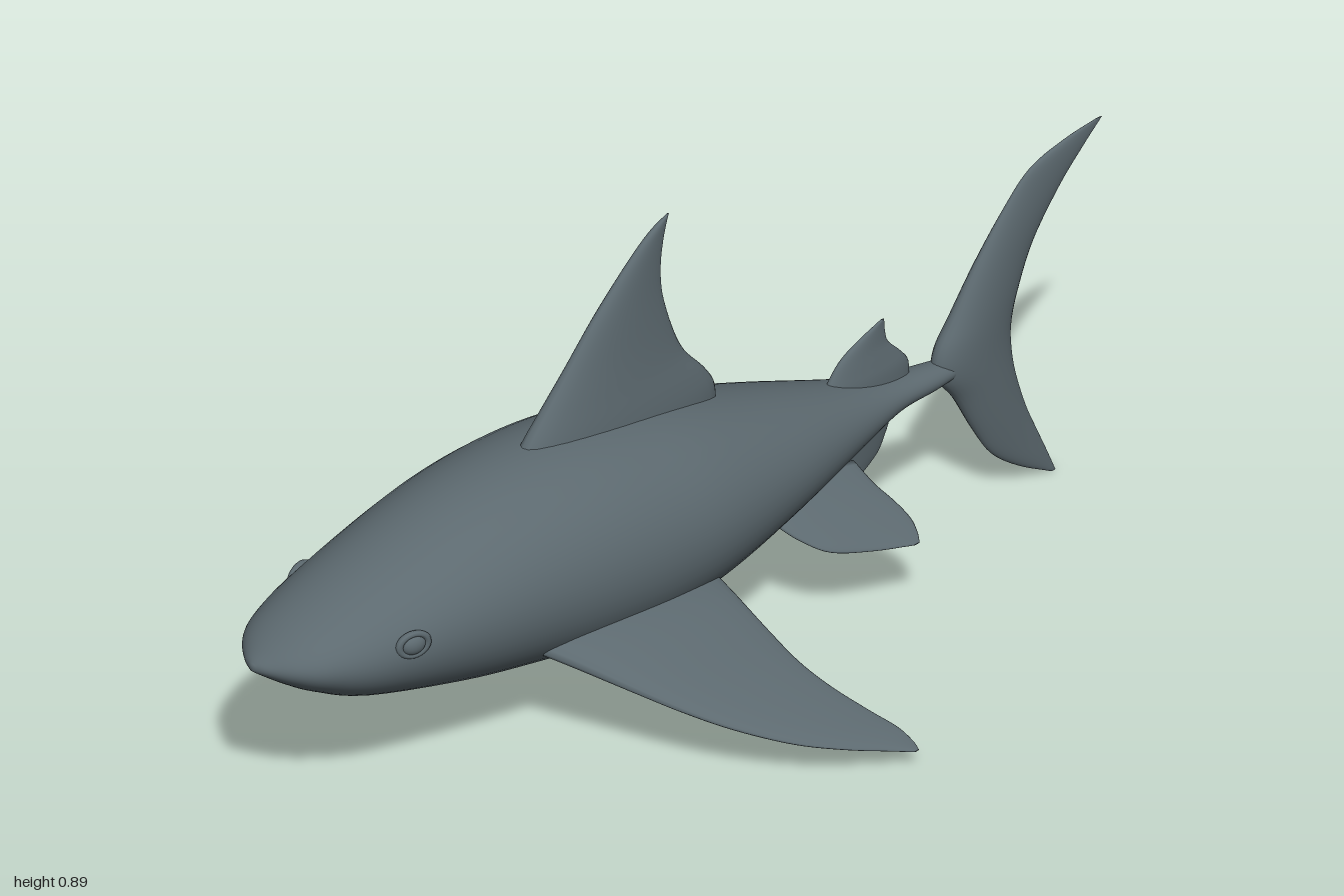
import * as THREE from 'three';

const skin = new THREE.MeshStandardMaterial({ color: 0x5c696f });
skin.name = 'slate grey skin';

// Smoothly resample a short table of cross-section rows
function smooth(rows, steps) {
  const size = rows[0].length;
  const spline = new THREE.CubicInterpolant(rows.map((_, i) => i), rows.flat(), size, new Float32Array(size));
  const count = (rows.length - 1) * steps;
  return Array.from({ length: count + 1 }, (_, i) => Array.from(spline.evaluate(i / steps)));
}

// Skin closed rings of points, cap both ends, and turn the faces outward
function loft(rings) {
  const n = rings[0].length;
  const points = rings.flat();
  const index = [];
  for (let r = 0; r < rings.length - 1; r++) {
    for (let i = 0; i < n; i++) {
      const a = r * n + i, b = r * n + (i + 1) % n;
      index.push(a, b, a + n, b, b + n, a + n);
    }
  }
  [0, rings.length - 1].forEach((r, end) => {
    const centre = new THREE.Vector3();
    rings[r].forEach(p => centre.addScaledVector(p, 1 / n));
    const c = points.push(centre) - 1;
    for (let i = 0; i < n; i++) {
      const a = r * n + i, b = r * n + (i + 1) % n;
      if (end) index.push(c, a, b); else index.push(c, b, a);
    }
  });
  let volume = 0;
  const cross = new THREE.Vector3();
  for (let i = 0; i < index.length; i += 3) {
    const [a, b, c] = [0, 1, 2].map(k => points[index[i + k]]);
    volume += a.dot(cross.crossVectors(b, c));
  }
  if (volume < 0) index.reverse();
  const geometry = new THREE.BufferGeometry().setFromPoints(points);
  geometry.setIndex(index);
  geometry.computeVertexNormals();
  return geometry;
}

// Fin rows: [span, leading z, trailing z, half thickness, height]
function finGeometry(rows, place) {
  const sides = 28;
  return loft(smooth(rows, 5).map(([span, lead, trail, thick, height]) =>
    Array.from({ length: sides }, (_, i) => {
      const a = i / sides * Math.PI * 2;
      const z = trail + (lead - trail) * (1 + Math.cos(a)) / 2;
      const t = Math.max(thick, 0.001) * Math.sin(a) * (1 + 0.25 * Math.cos(a));
      return place(span, z, t, height);
    })));
}

export function createModel() {
  const model = new THREE.Group();
  const add = (name, geometry, parent = model) => {
    const mesh = new THREE.Mesh(geometry, skin);
    mesh.name = name;
    parent.add(mesh);
    return mesh;
  };

  // Body: [z, half width, top, bottom]
  const body = [
    [0.998, 0.006, 0.336, 0.324], [0.985, 0.035, 0.348, 0.314], [0.95, 0.082, 0.372, 0.29],
    [0.9, 0.117, 0.398, 0.26], [0.8, 0.152, 0.437, 0.215], [0.6, 0.187, 0.503, 0.165],
    [0.45, 0.206, 0.534, 0.141], [0.3, 0.215, 0.543, 0.124], [0.15, 0.212, 0.53, 0.123],
    [0, 0.194, 0.502, 0.145], [-0.2, 0.142, 0.443, 0.2], [-0.4, 0.074, 0.379, 0.257],
    [-0.5, 0.045, 0.353, 0.286], [-0.59, 0.032, 0.342, 0.292], [-0.66, 0.022, 0.335, 0.302],
  ];
  add('body', loft(smooth(body, 5).map(([z, w, top, bottom]) =>
    Array.from({ length: 48 }, (_, i) => {
      const a = i / 48 * Math.PI * 2;
      return new THREE.Vector3(w * Math.cos(a),
        (top + bottom) / 2 + (top - bottom) / 2 * Math.sin(a), z);
    }))));

  // Upright fins along the centre line
  const upright = (span, z, t) => new THREE.Vector3(t, span, z);
  add('dorsalFin', finGeometry([
    [0.44, 0.4, -0.09, 0.042], [0.5, 0.385, -0.09, 0.042], [0.545, 0.36, -0.065, 0.039],
    [0.6, 0.315, -0.018, 0.032], [0.66, 0.265, 0.01, 0.025], [0.74, 0.2, 0.033, 0.018],
    [0.8, 0.145, 0.037, 0.013], [0.85, 0.095, 0.031, 0.009], [0.88, 0.058, 0.024, 0.006],
    [0.9, 0.022, 0.018, 0.002],
  ], upright));
  add('secondDorsalFin', finGeometry([
    [0.32, -0.33, -0.545, 0.02], [0.37, -0.345, -0.545, 0.019], [0.4, -0.36, -0.525, 0.015],
    [0.43, -0.385, -0.497, 0.01], [0.455, -0.425, -0.49, 0.006], [0.48, -0.48, -0.488, 0.002],
  ], upright));
  add('analFin', finGeometry([
    [0.31, -0.36, -0.5, 0.019], [0.27, -0.37, -0.5, 0.018], [0.24, -0.385, -0.49, 0.014],
    [0.21, -0.4, -0.475, 0.009], [0.19, -0.41, -0.455, 0.005], [0.175, -0.425, -0.435, 0.002],
  ], upright));
  add('tailFin', finGeometry([
    [0.007, -0.878, -0.89, 0.002], [0.05, -0.8, -0.872, 0.008], [0.1, -0.738, -0.85, 0.013],
    [0.17, -0.693, -0.82, 0.019], [0.25, -0.65, -0.795, 0.025], [0.31, -0.606, -0.785, 0.029],
    [0.36, -0.608, -0.785, 0.029], [0.42, -0.645, -0.8, 0.025], [0.51, -0.702, -0.837, 0.018],
    [0.6, -0.77, -0.9, 0.012], [0.66, -0.83, -0.955, 0.008], [0.69, -0.91, -0.985, 0.004],
    [0.705, -0.985, -1, 0.001],
  ], upright));

  // Paired fins and eyes
  for (const side of [1, -1]) {
    const label = side > 0 ? 'left' : 'right';
    const spread = (span, z, t, y) => new THREE.Vector3(side * span, y + t, z);
    add(label + 'PectoralFin', finGeometry([
      [0.12, 0.48, 0.04, 0.03, 0.235], [0.2, 0.43, 0.04, 0.03, 0.212],
      [0.3, 0.36, 0.037, 0.022, 0.172], [0.38, 0.305, 0.033, 0.016, 0.142],
      [0.45, 0.245, 0.015, 0.012, 0.114], [0.52, 0.165, -0.015, 0.009, 0.085],
      [0.57, 0.085, -0.038, 0.006, 0.065], [0.605, 0.01, -0.045, 0.004, 0.049],
      [0.625, -0.03, -0.042, 0.002, 0.041],
    ], spread));
    add(label + 'PelvicFin', finGeometry([
      [0.05, -0.13, -0.375, 0.015, 0.25], [0.1, -0.15, -0.38, 0.014, 0.224],
      [0.14, -0.175, -0.394, 0.011, 0.2], [0.175, -0.215, -0.402, 0.008, 0.178],
      [0.2, -0.29, -0.397, 0.005, 0.163], [0.22, -0.37, -0.386, 0.002, 0.153],
    ], spread));

    const eye = new THREE.Group();
    eye.name = label + 'Eye';
    eye.position.set(side * 0.157, 0.355, 0.75);
    eye.rotation.y = side * (Math.PI / 2 - 0.22);
    add('eyeball', new THREE.SphereGeometry(0.022, 20, 14), eye).scale.set(1.1, 0.9, 0.6);
    add('eyelid', new THREE.TorusGeometry(0.026, 0.007, 8, 28), eye).scale.set(1.1, 0.85, 1);
    model.add(eye);
  }
  return model;
}
